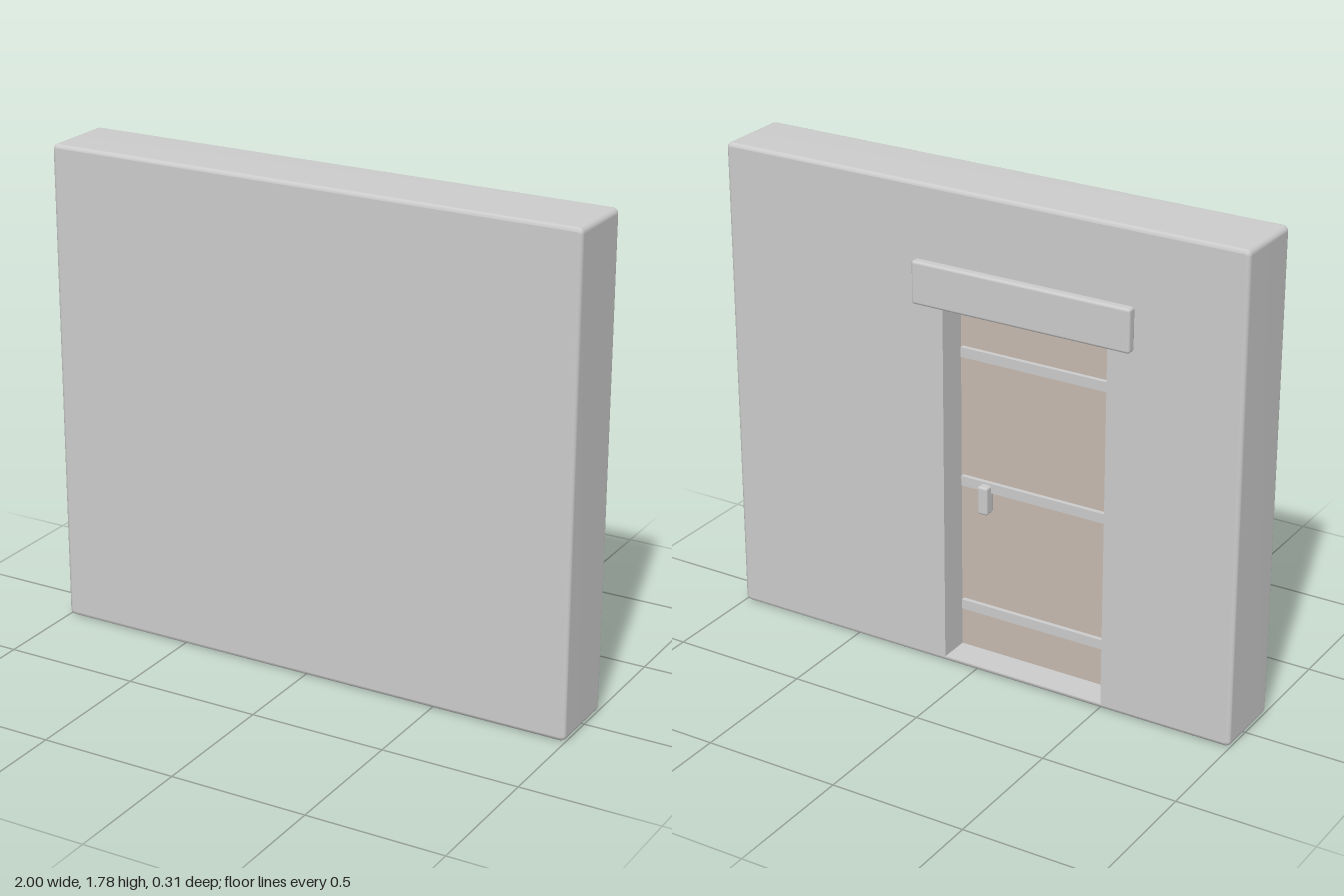
import * as THREE from 'three';
import { RoundedBoxGeometry } from 'three/addons/geometries/RoundedBoxGeometry.js';

const grey = new THREE.MeshStandardMaterial({ color: 0xcccccc });
const brown = new THREE.MeshStandardMaterial({ color: 0xc6b9b0 });

// Wall extents, doorway extents and the plane of the door
const W = { x: 1, y0: 0.004, y1: 1.78, zFront: 0.155, zBack: -0.12 };
const D = { x0: -0.505, x1: 0.125, y0: 0.022, y1: 1.36, z: -0.005 };
const EDGE = 0.014, CORNER = 0.02;

// Rounded rectangle of the wall, shrunk by an inset
function outline(inset) {
  const pts = [];
  const cy = (W.y0 + W.y1) / 2, hy = (W.y1 - W.y0) / 2;
  const signs = [[1, 1], [-1, 1], [-1, -1], [1, -1]];
  signs.forEach(([sx, sy], c) => {
    for (let i = 0; i <= 4; i++) {
      const a = (c + i / 4) * Math.PI / 2, r = CORNER - inset;
      pts.push(new THREE.Vector2(
        sx * (W.x - CORNER) + r * Math.cos(a),
        cy + sy * (hy - CORNER) + r * Math.sin(a)));
    }
  });
  return pts;
}

// Band round the wall's edge, softened where it meets both faces
function rimGeometry() {
  const rings = [];
  for (let i = 0; i <= 3; i++) {
    const a = i / 3 * Math.PI / 2;
    rings.push([EDGE * (1 - Math.sin(a)), W.zBack + EDGE * (1 - Math.cos(a))]);
  }
  for (let i = 3; i >= 0; i--) rings.push([rings[i][0], W.zFront + W.zBack - rings[i][1]]);
  const pos = [], idx = [], n = outline(0).length;
  rings.forEach(([inset, z], k) => {
    outline(inset).forEach((p) => pos.push(p.x, p.y, z));
    if (k === 0) return;
    for (let j = 0; j < n; j++) {
      const a = (k - 1) * n + j, b = (k - 1) * n + (j + 1) % n;
      idx.push(a, b, b + n, a, b + n, a + n);
    }
  });
  const g = new THREE.BufferGeometry();
  g.setAttribute('position', new THREE.Float32BufferAttribute(pos, 3));
  g.setIndex(idx);
  g.computeVertexNormals();
  return g;
}

// Jambs, soffit and sill: the side faces of a box turned inward
function recessGeometry() {
  const depth = D.z - W.zBack;
  const g = new THREE.BoxGeometry(D.x1 - D.x0, D.y1 - D.y0, depth);
  g.setIndex(Array.from(g.index.array).slice(0, 24).reverse());
  g.clearGroups();
  const nrm = g.attributes.normal;
  for (let i = 0; i < nrm.count; i++) nrm.setXYZ(i, -nrm.getX(i), -nrm.getY(i), -nrm.getZ(i));
  return g.translate((D.x0 + D.x1) / 2, (D.y0 + D.y1) / 2, W.zBack + depth / 2);
}

export function createModel() {
  const model = new THREE.Group();
  const add = (name, geometry, material = grey, parent = model) => {
    const mesh = new THREE.Mesh(geometry, material);
    mesh.name = name;
    parent.add(mesh);
    return mesh;
  };
  const block = (x0, x1, y0, y1, z0, z1, r) => {
    const g = r ? new RoundedBoxGeometry(x1 - x0, y1 - y0, z1 - z0, 2, r)
      : new THREE.BoxGeometry(x1 - x0, y1 - y0, z1 - z0);
    return g.translate((x0 + x1) / 2, (y0 + y1) / 2, (z0 + z1) / 2);
  };

  // Wall: blank front, doorway cut into the back
  const wall = new THREE.Group();
  wall.name = 'wall';
  model.add(wall);
  add('wallRim', rimGeometry(), grey, wall);
  const face = outline(EDGE);
  add('wallFront', new THREE.ShapeGeometry(new THREE.Shape(face)).translate(0, 0, W.zFront), grey, wall);
  // Drawn mirrored in x, then turned to face -z
  const backShape = new THREE.Shape(face);
  backShape.holes.push(new THREE.Path([
    new THREE.Vector2(-D.x1, D.y0), new THREE.Vector2(-D.x1, D.y1),
    new THREE.Vector2(-D.x0, D.y1), new THREE.Vector2(-D.x0, D.y0)]));
  add('wallBack', new THREE.ShapeGeometry(backShape).rotateY(Math.PI).translate(0, 0, W.zBack), grey, wall);
  add('doorRecess', recessGeometry(), grey, wall);

  // Door with three cross straps and a pull
  add('doorPanel', block(D.x0, D.x1, D.y0, D.y1, D.z, D.z + 0.02), brown);
  for (const y of [0.19, 0.675, 1.16]) {
    add('doorStrap', block(D.x0 + 0.008, D.x1 - 0.008, y - 0.018, y + 0.018, D.z - 0.016, D.z));
  }
  add('doorHandle', block(-0.005, 0.035, 0.58, 0.685, D.z - 0.045, D.z, 0.008));

  // Lintel board over the doorway
  add('lintel', block(-0.605, 0.225, 1.36, 1.515, -0.158, W.zBack, 0.01));
  return model;
}
